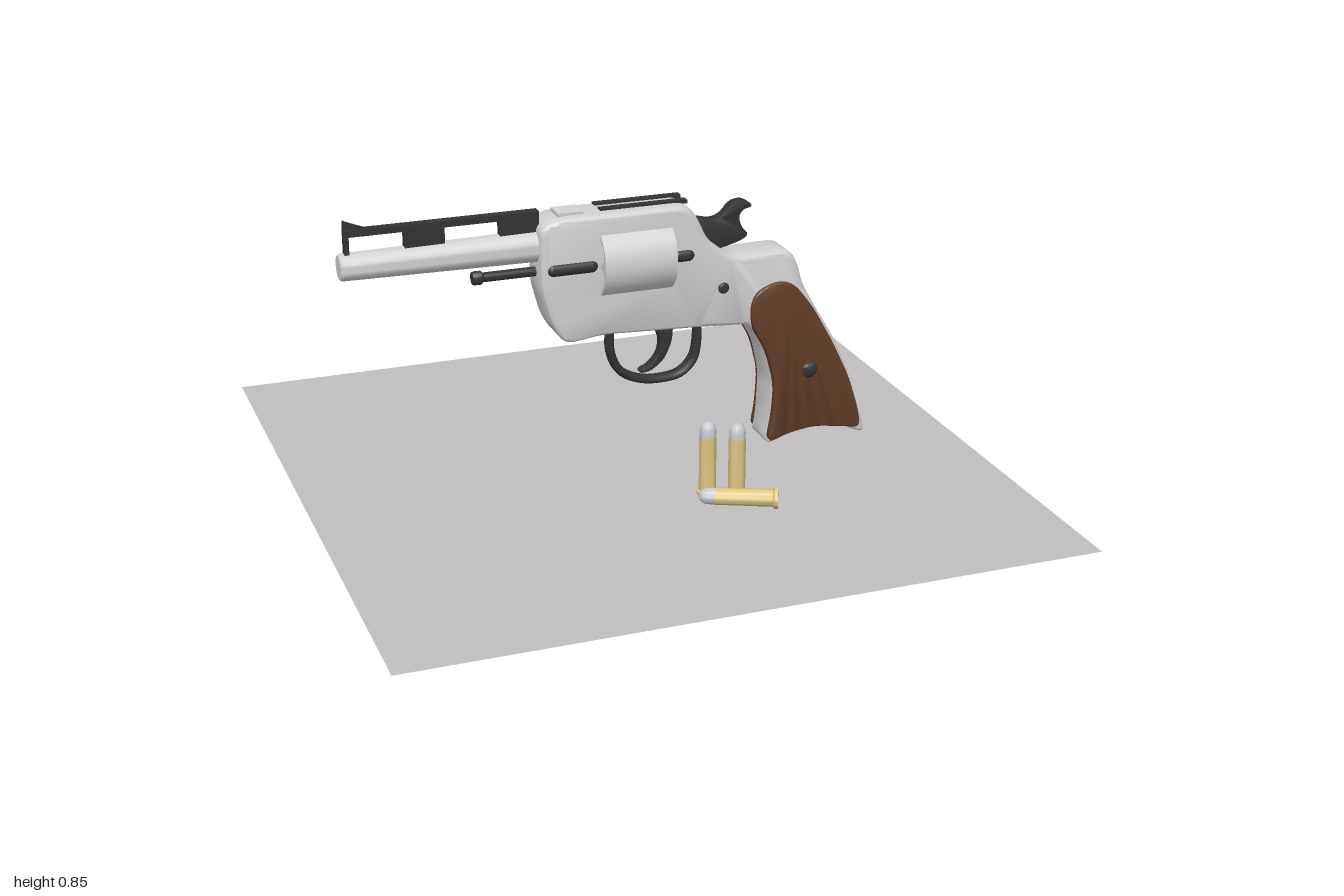
import * as THREE from 'three';
import { toCreasedNormals } from 'three/addons/utils/BufferGeometryUtils.js';

const material = (name, color, extra = {}) => {
  const m = new THREE.MeshStandardMaterial({ color, ...extra });
  m.name = name;
  return m;
};

// Closed outline with its corners rounded by up to r
function roundedShape(pts, r) {
  const v = pts.map(p => new THREE.Vector2(...p));
  const shape = new THREE.Shape();
  v.forEach((p, i) => {
    const toward = q => {
      const d = q.clone().sub(p);
      return p.clone().add(d.setLength(Math.min(r, d.length() * 0.45)));
    };
    const a = toward(v[(i + v.length - 1) % v.length]);
    const b = toward(v[(i + 1) % v.length]);
    if (i === 0) shape.moveTo(a.x, a.y); else shape.lineTo(a.x, a.y);
    shape.quadraticCurveTo(p.x, p.y, b.x, b.y);
  });
  shape.closePath();
  return shape;
}

// Bevelled slab of total thickness 2 * half, centred on z = 0
function slab(shape, half, bevel, steps = 4) {
  const depth = 2 * (half - bevel);
  const g = new THREE.ExtrudeGeometry(shape, {
    depth, bevelEnabled: bevel > 0, bevelThickness: bevel, bevelSize: bevel,
    bevelOffset: -bevel, bevelSegments: steps, curveSegments: 5,
  });
  return toCreasedNormals(g.translate(0, 0, -depth / 2), 0.7);
}

// Turned part whose profile is [radius, height] pairs
const turned = (pts, n = 28) => toCreasedNormals(
  new THREE.LatheGeometry(pts.map(p => new THREE.Vector2(...p)), n), 0.6);

export function createModel() {
  const root = new THREE.Group();
  const silver = material('silver metal', 0xd2d2d2);
  const dark = material('dark steel', 0x343434);
  const wood = material('brown wood', 0x633e28);
  const brass = material('brass', 0xdcc680);
  const lead = material('bullet grey', 0xc6c9ce);
  const grey = material('base grey', 0xc0bebe, { side: THREE.DoubleSide });

  const add = (name, geometry, mat, x = 0, y = 0, z = 0, parent = root) => {
    const m = new THREE.Mesh(geometry, mat);
    m.name = name;
    m.position.set(x, y, z);
    parent.add(m);
    return m;
  };
  const box = (name, mat, x0, x1, y0, y1, z, w) =>
    add(name, new THREE.BoxGeometry(x1 - x0, y1 - y0, w), mat, (x0 + x1) / 2, (y0 + y1) / 2, z);

  // Base sheet
  add('basePlate', new THREE.PlaneGeometry(2, 2).rotateX(-Math.PI / 2), grey);

  // Frame and grip core in one slab, with the cylinder window
  const frame = roundedShape([
    [-0.305, 0.79], [-0.24, 0.81], [0.14, 0.81], [0.175, 0.76], [0.2, 0.7], [0.28, 0.635],
    [0.465, 0.637], [0.49, 0.59], [0.505, 0.53], [0.55, 0.45], [0.61, 0.35], [0.665, 0.23],
    [0.7, 0.12], [0.73, 0.02], [0.7, 0.025], [0.65, 0.05], [0.55, 0.062], [0.46, 0.05],
    [0.397, 0.018], [0.41, 0.1], [0.415, 0.22], [0.39, 0.33], [0.34, 0.42], [0.18, 0.43],
    [-0.12, 0.445], [-0.235, 0.43], [-0.275, 0.49], [-0.305, 0.6],
  ], 0.03);
  frame.holes.push(new THREE.Path([
    [-0.135, 0.562], [-0.135, 0.758], [0.095, 0.758], [0.095, 0.562],
  ].map(p => new THREE.Vector2(...p))));
  add('frame', slab(frame, 0.066, 0.016), silver);
  box('rearSightBase', silver, -0.245, -0.17, 0.8, 0.818, 0, 0.07);
  for (const z of [-0.042, 0.012]) box('topStrapInlay', dark, -0.115, 0.15, 0.805, 0.815, z, 0.026);

  // Wooden grip panels
  const panel = slab(roundedShape([
    [0.335, 0.48], [0.355, 0.525], [0.42, 0.55], [0.475, 0.535], [0.54, 0.45], [0.605, 0.335],
    [0.66, 0.22], [0.693, 0.12], [0.71, 0.04], [0.65, 0.052], [0.55, 0.068], [0.46, 0.055],
    [0.397, 0.03], [0.412, 0.11], [0.418, 0.22], [0.39, 0.33], [0.338, 0.42],
  ], 0.035), 0.014, 0.008);

  // Side details, mirrored on both faces
  const pin = (x0, x1) => new THREE.CapsuleGeometry(0.02, x1 - x0 - 0.04, 6, 14).rotateZ(Math.PI / 2);
  const screw = r => turned([[r, -0.02], [r, 0], [r * 0.7, 0.006], [0, 0.008]], 20).rotateX(Math.PI / 2);
  for (const s of [-1, 1]) {
    add('gripPanel', panel, wood, 0, 0, s * 0.062);
    add('frontPin', pin(-0.29, -0.135), dark, -0.2125, 0.66, s * 0.056);
    add('rearPin', pin(0.09, 0.16), dark, 0.125, 0.66, s * 0.056);
    for (const [x, y, r, z] of [[0.25, 0.547, 0.017, 0.068], [0.53, 0.255, 0.024, 0.076]])
      add('screw', screw(r), dark, x, y, s * z).rotation.y = s < 0 ? Math.PI : 0;
  }

  // Revolving cylinder with six open chambers, two of them loaded
  const drum = new THREE.Shape().absarc(0, 0, 0.112, 0, Math.PI * 2);
  const chambers = [0, 1, 2, 3, 4, 5].map(i => {
    const a = Math.PI / 6 + i * Math.PI / 3;
    return [0.073 * Math.cos(a), 0.073 * Math.sin(a)];
  });
  for (const [u, v] of chambers)
    drum.holes.push(new THREE.Path().absarc(u, v, 0.032, 0, Math.PI * 2, true));
  const drumGeometry = toCreasedNormals(new THREE.ExtrudeGeometry(drum, {
    depth: 0.218, bevelEnabled: false, curveSegments: 20,
  }).translate(0, 0, -0.109), 0.6).rotateY(Math.PI / 2);
  add('cylinder', drumGeometry, silver, -0.02, 0.66, 0);

  // Cartridge, standing with its base at the origin
  const caseGeometry = turned([[0, 0], [0.031, 0], [0.031, 0.01], [0.025, 0.015], [0.025, 0.18]]);
  const tipGeometry = turned([[0.024, 0.178], [0.024, 0.2], [0.021, 0.214], [0.013, 0.223], [0, 0.227]]);
  const cartridge = (x, y, z) => {
    const g = new THREE.Group();
    g.name = 'cartridge';
    g.position.set(x, y, z);
    add('brassCase', caseGeometry, brass, 0, 0, 0, g);
    add('bulletTip', tipGeometry, lead, 0, 0, 0, g);
    root.add(g);
    return g;
  };
  cartridge(0.12, 0.002, 0.28);
  cartridge(0.195, 0.002, 0.32);
  const lying = cartridge(0.272, 0.034, 0.445);
  lying.quaternion.setFromUnitVectors(new THREE.Vector3(0, 1, 0),
    new THREE.Vector3(-0.91, 0, -0.415).normalize());
  for (const s of [-1, 1]) {
    const loaded = cartridge(0.094, 0.66 + s * 0.0365, 0.064);
    loaded.rotation.z = Math.PI / 2;
    loaded.scale.y = 0.9;
  }

  // Barrel, tapering toward the muzzle
  add('barrel', turned([[0, 0], [0.034, 0], [0.039, 0.006], [0.047, 0.6], [0, 0.6]], 32)
    .rotateZ(-Math.PI / 2), silver, -0.872, 0.72, 0);

  // Sight rib on its supports
  box('sightRib', dark, -0.855, -0.295, 0.808, 0.826, 0, 0.03);
  box('ribSupport', dark, -0.685, -0.57, 0.752, 0.81, 0, 0.026);
  box('ribSupport', dark, -0.41, -0.295, 0.752, 0.81, 0, 0.026);
  box('ribSupport', dark, -0.855, -0.842, 0.745, 0.81, 0, 0.026);
  const sight = new THREE.Shape([[-0.857, 0.82], [-0.77, 0.82], [-0.82, 0.838], [-0.855, 0.853]]
    .map(p => new THREE.Vector2(...p)));
  add('frontSight', slab(sight, 0.007, 0), dark);

  // Ejector rod under the barrel
  add('ejectorRod', turned([[0, 0], [0.018, 0], [0.02, 0.006], [0.02, 0.026], [0.014, 0.032],
    [0.014, 0.19], [0, 0.19]], 20).rotateZ(-Math.PI / 2), dark, -0.492, 0.643, 0);

  // Hammer with curved spur
  add('hammer', slab(roundedShape([
    [0.13, 0.76], [0.17, 0.757], [0.235, 0.742], [0.268, 0.755], [0.29, 0.785], [0.325, 0.795],
    [0.355, 0.78], [0.355, 0.768], [0.33, 0.765], [0.315, 0.745], [0.325, 0.71], [0.35, 0.685],
    [0.32, 0.668], [0.25, 0.65], [0.17, 0.68],
  ], 0.02), 0.018, 0.004, 2), dark);

  // Trigger guard bow
  const bow = new THREE.CatmullRomCurve3([
    [-0.08, 0.45], [-0.08, 0.37], [-0.05, 0.305], [0.01, 0.272], [0.075, 0.264],
    [0.14, 0.275], [0.18, 0.315], [0.192, 0.37], [0.192, 0.44],
  ].map(([x, y]) => new THREE.Vector3(x, y, 0)));
  add('triggerGuard', new THREE.TubeGeometry(bow, 40, 0.013, 10).scale(1, 1, 1.9), dark);

  // Trigger
  add('trigger', slab(roundedShape([
    [0.045, 0.45], [0.115, 0.45], [0.11, 0.38], [0.085, 0.325], [0.045, 0.295], [0.01, 0.29],
    [0.01, 0.3], [0.04, 0.312], [0.068, 0.345], [0.075, 0.39],
  ], 0.02), 0.016, 0.004, 2), dark);

  return root;
}
